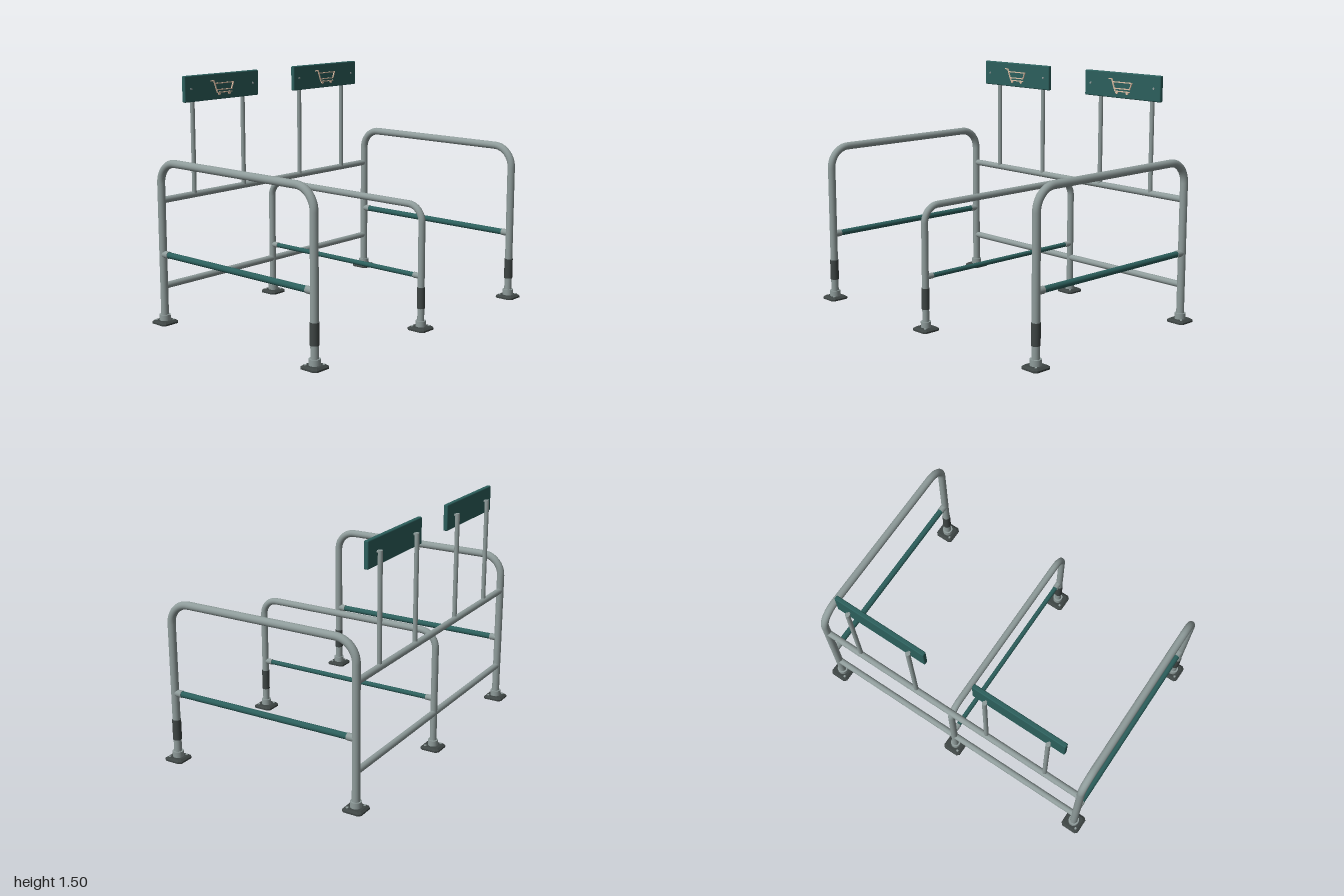
import * as THREE from 'three';
import { RoundedBoxGeometry } from 'three/addons/geometries/RoundedBoxGeometry.js';

const material = (name, color, side = THREE.FrontSide) => {
  const m = new THREE.MeshStandardMaterial({ color, side });
  m.name = name;
  return m;
};
const steel = material('galvanised steel', 0x8f9c9b);
const green = material('dark green', 0x2c5f5c);
const rubber = material('dark rubber', 0x3e4544);
const beige = material('beige', 0xdcbfa6);

const LEG_Z = 0.627, SIDE_X = 0.937;
const V = (x, y, z) => new THREE.Vector3(x, y, z);

function add(parent, name, geometry, mat, x = 0, y = 0, z = 0) {
  const mesh = new THREE.Mesh(geometry, mat);
  mesh.name = name;
  mesh.position.set(x, y, z);
  parent.add(mesh);
  return mesh;
}

// Round bar between two points
function bar(parent, name, a, b, radius, mat, sides = 20) {
  const mesh = add(parent, name, new THREE.CylinderGeometry(radius, radius, a.distanceTo(b), sides), mat);
  mesh.position.copy(a).add(b).multiplyScalar(0.5);
  mesh.quaternion.setFromUnitVectors(V(0, 1, 0), b.clone().sub(a).normalize());
  return mesh;
}

// Bent tube: two legs joined by a top run with rounded corners
function hoopGeometry(top, bend, radius) {
  const k = bend * 0.4477, z = LEG_Z;
  const path = new THREE.CurvePath();
  path.add(new THREE.LineCurve3(V(0, 0.01, z), V(0, top - bend, z)));
  path.add(new THREE.CubicBezierCurve3(
    V(0, top - bend, z), V(0, top - k, z), V(0, top, z - k), V(0, top, z - bend)));
  path.add(new THREE.LineCurve3(V(0, top, z - bend), V(0, top, bend - z)));
  path.add(new THREE.CubicBezierCurve3(
    V(0, top, bend - z), V(0, top, k - z), V(0, top - k, -z), V(0, top - bend, -z)));
  path.add(new THREE.LineCurve3(V(0, top - bend, -z), V(0, 0.01, -z)));
  return new THREE.TubeGeometry(path, 160, radius, 18);
}

// Square plate with cut corners; the top face can be smaller than the bottom
function plateGeometry(half, cut, height, topScale) {
  const h = half, c = half - cut;
  const shape = new THREE.Shape(
    [[h, -c], [h, c], [c, h], [-c, h], [-h, c], [-h, -c], [-c, -h], [c, -h]]
      .map(([x, y]) => new THREE.Vector2(x, y)));
  const g = new THREE.ExtrudeGeometry(shape, { depth: height, bevelEnabled: false });
  const p = g.attributes.position;
  for (let i = 0; i < p.count; i++) {
    if (p.getZ(i) > height / 2) p.setXY(i, p.getX(i) * topScale, p.getY(i) * topScale);
  }
  g.rotateX(-Math.PI / 2);
  g.computeVertexNormals();
  return g;
}

function foot(parent, x, z, collarRadius) {
  const g = new THREE.Group();
  g.name = 'foot';
  g.position.set(x, 0, z);
  parent.add(g);
  add(g, 'basePlate', plateGeometry(0.0625, 0.016, 0.01, 1), rubber);
  add(g, 'basePlateTop', plateGeometry(0.0625, 0.016, 0.01, 0.78), rubber, 0, 0.01, 0);
  add(g, 'footCollar', new THREE.CylinderGeometry(collarRadius, collarRadius, 0.04, 20), steel, 0, 0.036, 0);
  for (const s of [-1, 1]) {
    add(g, 'anchorBolt', new THREE.CylinderGeometry(0.008, 0.008, 0.008, 10), steel, s * 0.037, 0.02, s * 0.035);
  }
}

function hoop(parent, x, top, bend, radius, barY, barRadius) {
  const g = new THREE.Group();
  g.name = 'hoop';
  parent.add(g);
  add(g, 'hoopTube', hoopGeometry(top, bend, radius), steel, x);
  for (const s of [-1, 1]) {
    foot(g, x, s * LEG_Z, radius + 0.01);
    bar(g, 'barCollar', V(x, barY, s * 0.572), V(x, barY, s * 0.62), barRadius + 0.003, steel);
  }
  bar(g, 'greenBar', V(x, barY, -0.6), V(x, barY, 0.6), barRadius, green);
  bar(g, 'legSleeve', V(x, 0.132, LEG_Z), V(x, 0.262, LEG_Z), radius + 0.003, rubber);
}

// Raised trolley pictogram drawn with thin strips and two wheels
function trolley(parent) {
  const g = new THREE.Group();
  g.name = 'trolleySymbol';
  g.position.set(0, 0, 0.018);
  parent.add(g);
  const lines = [
    [[-0.1, 0.038], [-0.077, 0.038], [-0.048, -0.037], [0.07, -0.037]],
    [[-0.07, 0.02], [0.086, 0.02], [0.07, -0.02], [-0.054, -0.02]],
  ];
  for (const pts of lines) {
    for (let i = 0; i + 1 < pts.length; i++) {
      const [[x0, y0], [x1, y1]] = [pts[i], pts[i + 1]];
      const strip = add(g, 'symbolStrip',
        new THREE.BoxGeometry(Math.hypot(x1 - x0, y1 - y0) + 0.004, 0.006, 0.008), beige,
        (x0 + x1) / 2, (y0 + y1) / 2, 0);
      strip.rotation.z = Math.atan2(y1 - y0, x1 - x0);
    }
  }
  for (const x of [-0.034, 0.05]) {
    add(g, 'symbolWheel', new THREE.CylinderGeometry(0.009, 0.009, 0.008, 14).rotateX(Math.PI / 2),
      beige, x, -0.045, 0);
  }
}

function sign(parent, x) {
  const g = new THREE.Group();
  g.name = 'sign';
  g.position.set(x, 1.425, -0.589);
  parent.add(g);
  add(g, 'signPanel', new RoundedBoxGeometry(0.615, 0.16, 0.028, 2, 0.007), green);
  trolley(g);
  for (const s of [-1, 1]) {
    add(g, 'signScrew', new THREE.CylinderGeometry(0.007, 0.007, 0.006, 12).rotateX(Math.PI / 2),
      steel, s * 0.257, 0, 0.015);
    bar(g, 'signPost', V(s * 0.21, -0.658, -0.033), V(s * 0.21, 0.01, -0.033), 0.014, steel, 16);
    bar(g, 'postBracket', V(s * 0.21, 0, -0.033), V(s * 0.21, 0, -0.01), 0.008, steel, 12);
  }
}

export function createModel() {
  const model = new THREE.Group();
  model.name = 'trolleyBay';
  // Two tall side hoops and a lower one in the middle
  for (const s of [-1, 1]) hoop(model, s * SIDE_X, 1.003, 0.13, 0.024, 0.435, 0.019);
  hoop(model, 0, 0.76, 0.1, 0.021, 0.33, 0.015);
  // Rails across the back
  for (const y of [0.767, 0.235]) {
    bar(model, 'backRail', V(-SIDE_X, y, -LEG_Z), V(SIDE_X, y, -LEG_Z), 0.02, steel);
  }
  for (const s of [-1, 1]) sign(model, s * 0.47);
  return model;
}
